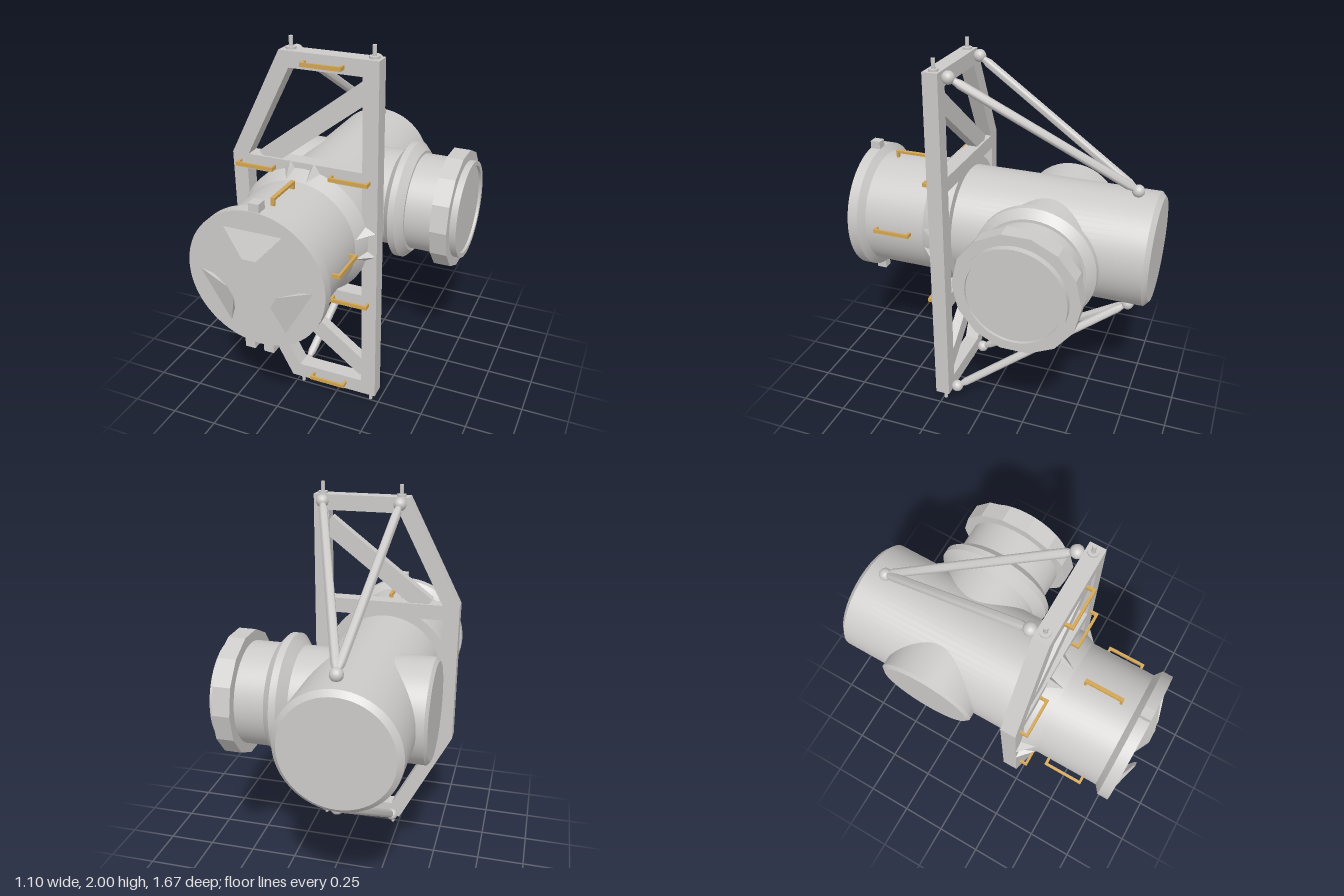
import * as THREE from 'three';
import { toCreasedNormals } from 'three/addons/utils/BufferGeometryUtils.js';
import { ConvexGeometry } from 'three/addons/geometries/ConvexGeometry.js';

const CX = -0.157, CY = 1.01, PORT_Z = -0.285;
const V = (x, y, z) => new THREE.Vector3(x, y, z);

export function createModel() {
  const grey = new THREE.MeshStandardMaterial({ color: 0xcccac8 });
  grey.name = 'light grey metal';
  const gold = new THREE.MeshStandardMaterial({ color: 0xd2a655 });
  gold.name = 'gold handrail';
  const model = new THREE.Group();
  model.name = 'stationModule';

  const add = (name, geo, parent = model, mat = grey) => {
    const m = new THREE.Mesh(geo, mat);
    m.name = name;
    parent.add(m);
    return m;
  };
  const box = (name, w, h, d, x, y, z, parent = model, mat = grey) => {
    const m = add(name, new THREE.BoxGeometry(w, h, d), parent, mat);
    m.position.set(x, y, z);
    return m;
  };
  // Profile is a list of [radius, distance along axis]
  const turned = (profile, segs = 48, crease = 0.4) => toCreasedNormals(
    new THREE.LatheGeometry(profile.map(p => new THREE.Vector2(p[0], p[1])), segs), crease);

  // Pressure hull with front collar, docking barrel and flange
  const hull = add('hull', turned([[0, -0.835], [0.275, -0.835], [0.302, -0.81], [0.302, 0.2],
    [0.35, 0.2], [0.35, 0.28], [0.315, 0.36], [0.315, 0.7], [0.353, 0.73], [0.353, 0.787], [0, 0.787]], 64)
    .rotateX(Math.PI / 2));
  hull.position.set(CX, CY, 0);

  // Side ports along x
  const portPos = m => m.position.set(0, CY, PORT_Z);
  portPos(add('shortPort', turned([[0, -0.51], [0.245, -0.51], [0.265, -0.495], [0.265, -0.16]])
    .rotateZ(-Math.PI / 2)));
  portPos(add('longPort', turned([[0.265, -0.15], [0.265, 0.16], [0.322, 0.2], [0.322, 0.235], [0.28, 0.275],
    [0.265, 0.275], [0.265, 0.555], [0.24, 0.555], [0.24, 0.54], [0, 0.54]]).rotateZ(-Math.PI / 2)));
  portPos(add('portRing', turned([[0.26, 0.43], [0.322, 0.43], [0.322, 0.52], [0.26, 0.52]], 14)
    .rotateZ(-Math.PI / 2)));

  // Docking guide petals, raised towards the centre of the front face
  for (let i = 0; i < 3; i++) {
    const pts = [];
    for (const s of [-1, 1]) {
      pts.push(V(s * 0.035, 0.13, 0.832), V(s * 0.15, 0.255, 0.786),
        V(s * 0.1, 0.2, 0.786), V(s * 0.035, 0.135, 0.822));
    }
    const petal = add('guidePetal', new ConvexGeometry(pts));
    petal.position.set(CX, CY, 0);
    petal.rotation.z = i * Math.PI * 2 / 3;
  }

  // Latch blocks on the flange rim
  for (const [x, y] of [[-0.143, 1.375], [-0.21, 0.645], [-0.11, 0.645]]) {
    box('latchBlock', 0.052, 0.055, 0.055, x, y, 0.757);
  }

  // Pairs of pointed gussets around the collar
  for (let i = 0; i < 4; i++) {
    for (const s of [-1, 1]) {
      const x = s * 0.065;
      const spike = add('collarSpike', new ConvexGeometry([V(x, 0.39, 0.28), V(x - 0.045, 0.31, 0.28),
        V(x + 0.045, 0.31, 0.28), V(x * 0.8, 0.3, 0.365)]));
      spike.position.set(CX, CY, 0);
      spike.rotation.z = i * Math.PI / 2;
    }
  }

  // Flat truss frame: outline with three windows
  const outline = [[0.24, 0.06], [0.24, 1.94], [-0.26, 1.94], [-0.545, 1.39], [-0.545, 0.62], [-0.26, 0.06]];
  const upper = [[-0.455, 1.39], [0.16, 1.39], [0.16, 1.86], [-0.212, 1.86]];
  const toVec = list => list.map(([x, y]) => new THREE.Vector2(x, y));
  const shape = new THREE.Shape(toVec(outline));
  const holes = [upper, upper.map(([x, y]) => [x, 2.005 - y]),
    [[-0.465, 0.7], [0.16, 0.7], [0.16, 1.31], [-0.465, 1.31]]];
  for (const h of holes) shape.holes.push(new THREE.Path(toVec(h)));
  add('trussFrame', new THREE.ExtrudeGeometry(shape, { depth: 0.08, bevelEnabled: false })).position.z = 0.2;

  // Rod between two points with ball ends
  const strut = (a, b) => {
    const g = new THREE.Group();
    g.name = 'strut';
    const len = a.distanceTo(b);
    const rod = add('strutRod', turned([[0.016, 0], [0.016, 0.03], [0.023, 0.06], [0.023, len - 0.06],
      [0.016, len - 0.03], [0.016, len]], 16, 0.8), g);
    rod.position.copy(a);
    rod.quaternion.setFromUnitVectors(V(0, 1, 0), b.clone().sub(a).normalize());
    for (const p of [a, b]) add('strutBall', new THREE.SphereGeometry(0.033, 16, 12), g).position.copy(p);
    model.add(g);
  };

  // Handrail: bar along local x standing off along local z
  const handle = (x, y, z) => {
    const g = new THREE.Group();
    g.name = 'handrail';
    box('handrailBar', 0.205, 0.02, 0.013, 0, 0, 0.037, g, gold);
    for (const s of [-1, 1]) box('handrailPost', 0.013, 0.02, 0.04, s * 0.096, 0, 0.018, g, gold);
    g.position.set(x, y, z);
    model.add(g);
    return g;
  };

  // Upper and lower halves of the frame fittings
  for (const s of [1, -1]) {
    const Y = y => 1 + s * (y - 1);
    const a = V(-0.37, Y(1.375), 0), b = V(0.175, Y(1.79), 0);
    const brace = box('diagonalBrace', a.distanceTo(b), 0.095, 0.055, (a.x + b.x) / 2, (a.y + b.y) / 2, 0.24);
    brace.rotation.z = Math.atan2(b.y - a.y, b.x - a.x);

    const apex = V(-0.13, Y(1.335), -0.71);
    for (const x of [-0.22, 0.185]) {
      strut(V(x, Y(1.91), 0.17), apex);
      const px = x + 0.005 + (x > 0 ? 0.01 : 0);
      const pin = add('pin', new THREE.CylinderGeometry(0.01, 0.01, 0.08, 12));
      pin.position.set(px, Y(1.96), 0.237);
      add('pinBase', new THREE.CylinderGeometry(0.025, 0.025, 0.012, 16)).position.set(px, Y(1.945), 0.237);
    }
    handle(-0.03, Y(1.895), 0.28);
    handle(-0.405, Y(1.345), 0.28);
    handle(0.1, Y(1.345), 0.28);
  }

  // Handrails around the docking barrel, running along z
  for (const deg of [86, 2, 184, 266]) {
    const t = deg * Math.PI / 180, out = V(Math.cos(t), Math.sin(t), 0);
    const h = handle(CX + out.x * 0.312, CY + out.y * 0.312, 0.53);
    const along = V(0, 0, 1);
    h.quaternion.setFromRotationMatrix(
      new THREE.Matrix4().makeBasis(along, out.clone().cross(along), out));
  }
  return model;
}
